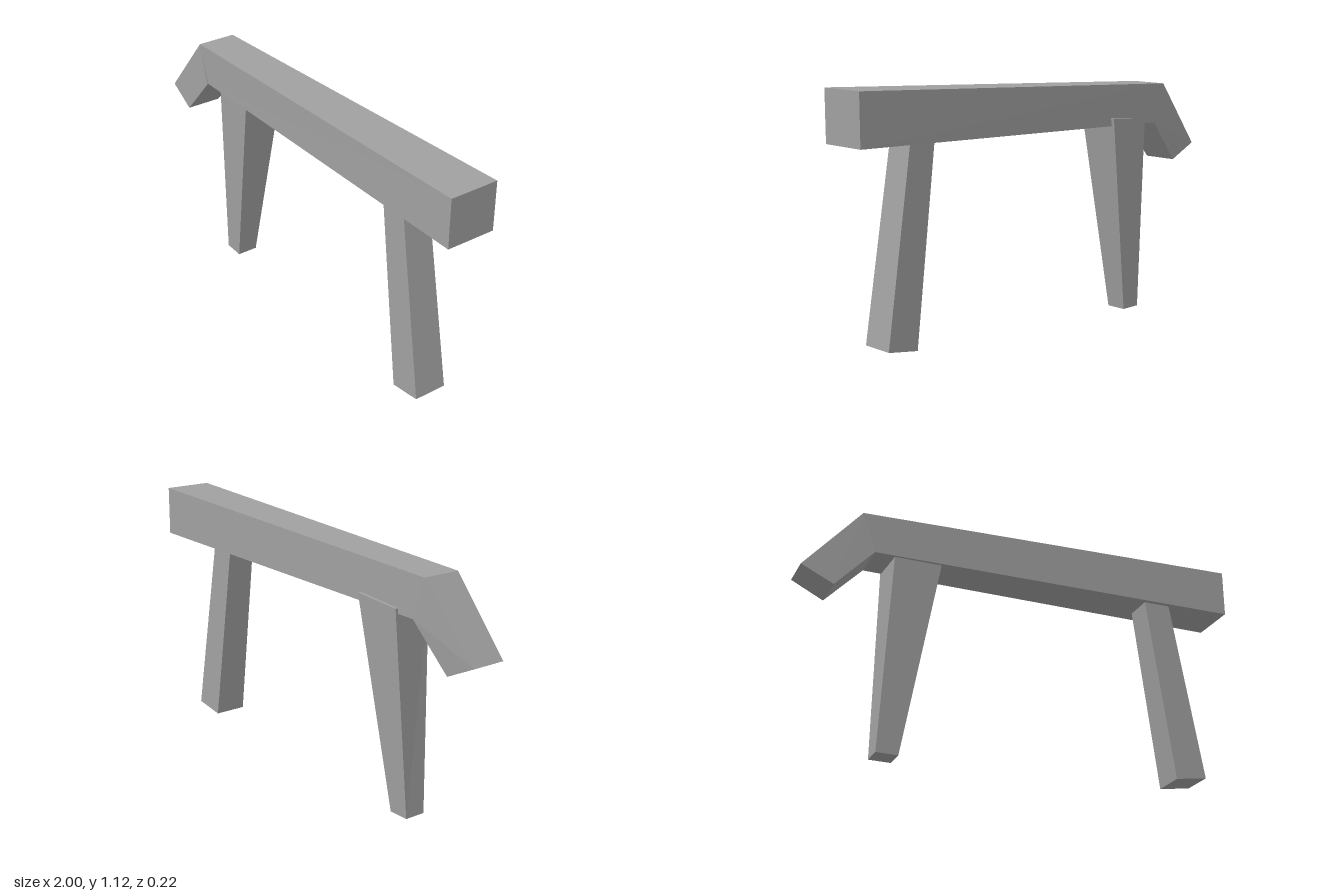
import * as THREE from 'three';

const grey = new THREE.MeshStandardMaterial({ color: 0xa0a0a0 });
grey.name = 'plain grey';
grey.flatShading = true;

// Six-sided block: corners ordered by x, then y, then z, each low before high
function block(name, corners) {
  const geo = new THREE.BoxGeometry(1, 1, 1);
  const p = geo.attributes.position;
  for (let i = 0; i < p.count; i++) {
    const k = (p.getX(i) > 0 ? 4 : 0) + (p.getY(i) > 0 ? 2 : 0) + (p.getZ(i) > 0 ? 1 : 0);
    p.setXYZ(i, ...corners[k]);
  }
  geo.computeVertexNormals();
  const mesh = new THREE.Mesh(geo, grey);
  mesh.name = name;
  return mesh;
}

export function createModel() {
  const model = new THREE.Group();
  model.name = 'beamAnimal';

  // Long body, rising and widening towards +x
  model.add(block('body', [
    [-0.69, 0.865, -0.09], [-0.69, 0.865, 0.083], [-0.75, 1.04, -0.09], [-0.75, 1.04, 0.083],
    [1, 0.91, -0.11], [1, 0.91, 0.105], [1, 1.125, -0.11], [1, 1.125, 0.105],
  ]));

  // Drooping head, hinged on the body's end
  model.add(block('head', [
    [-0.86, 0.673, -0.065], [-0.86, 0.673, 0.094], [-1, 0.74, -0.065], [-1, 0.74, 0.088],
    [-0.69, 0.865, -0.09], [-0.69, 0.865, 0.089], [-0.75, 1.04, -0.09], [-0.75, 1.04, 0.083],
  ]));

  // Tapered leg near the head, its top showing just past the body's back
  model.add(block('frontLeg', [
    [-0.635, 0, -0.05], [-0.635, 0, 0.045], [-0.607, 0.89, -0.104], [-0.6, 0.89, 0.075],
    [-0.54, 0, -0.05], [-0.54, 0, 0.045], [-0.39, 0.91, -0.111], [-0.385, 0.91, 0.075],
  ]));

  // Slanted leg near the far end, top sunk into the body
  model.add(block('rearLeg', [
    [0.705, 0.067, -0.06], [0.705, 0.067, 0.086], [0.583, 0.95, -0.045], [0.583, 0.95, 0.08],
    [0.85, 0.09, -0.06], [0.85, 0.09, 0.086], [0.705, 0.95, -0.045], [0.705, 0.95, 0.08],
  ]));

  return model;
}
